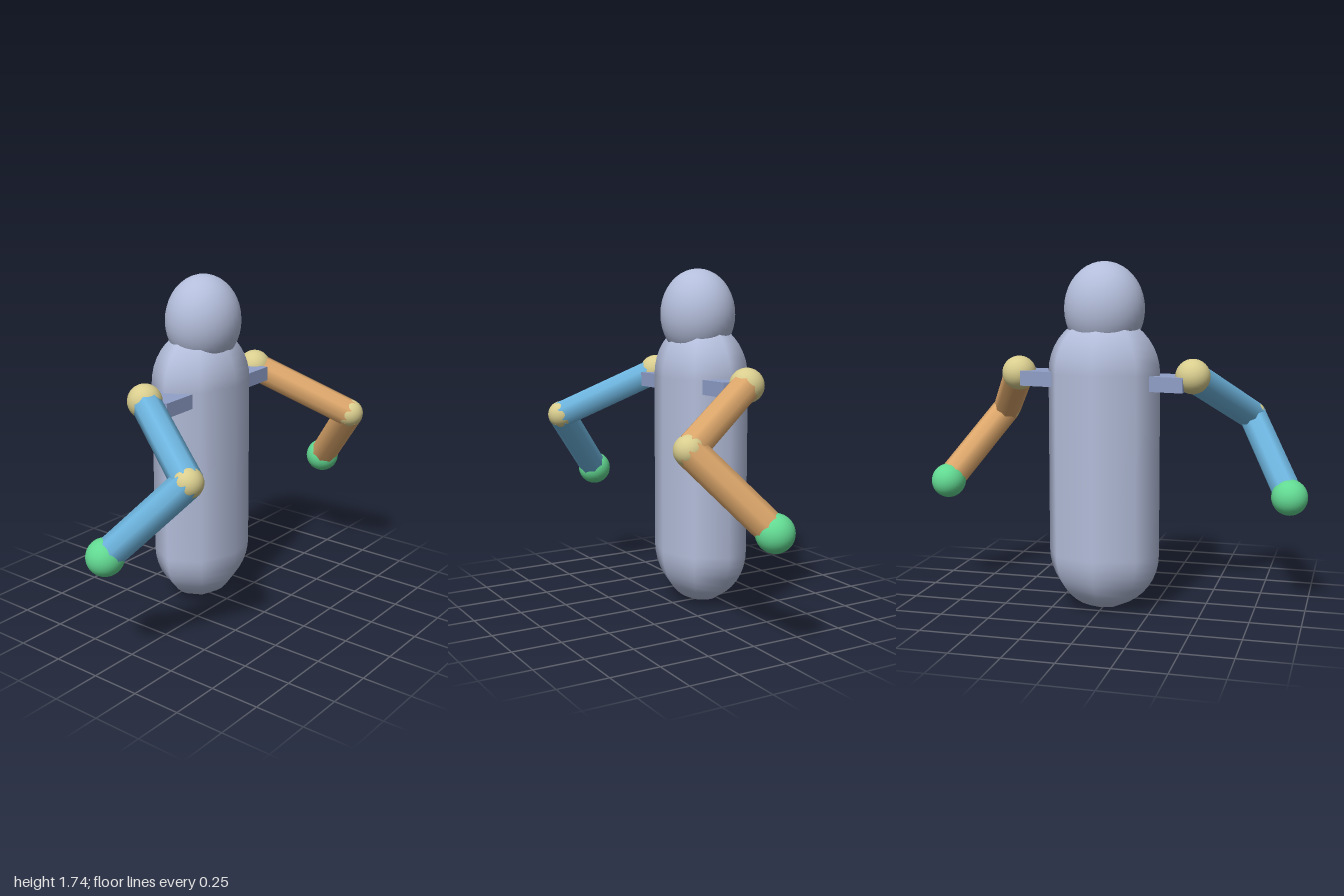
import * as THREE from 'three';

const flat = (name, color) => {
  const m = new THREE.MeshStandardMaterial({ color });
  m.name = name;
  return m;
};

export function createModel() {
  const mats = {
    body: flat('pale blue grey', 0xb4bedb),
    bar: flat('slate blue', 0x909fc8),
    blue: flat('sky blue', 0x6db4de),
    orange: flat('orange tan', 0xdea86c),
    joint: flat('sand yellow', 0xd9cd8e),
    hand: flat('green', 0x62d992),
  };
  const model = new THREE.Group();
  model.name = 'figure';

  const add = (name, geometry, material, position) => {
    const mesh = new THREE.Mesh(geometry, material);
    mesh.name = name;
    mesh.position.copy(position);
    model.add(mesh);
    return mesh;
  };
  const ball = (name, r, material, p) =>
    add(name, new THREE.SphereGeometry(r, 32, 20), material, p);

  // Cylinder running from one joint to the next
  const limb = (name, a, b, material) => {
    const dir = b.clone().sub(a);
    const mesh = add(name, new THREE.CylinderGeometry(0.075, 0.075, dir.length(), 8),
      material, a.clone().lerp(b, 0.5));
    mesh.quaternion.setFromUnitVectors(new THREE.Vector3(0, 1, 0), dir.normalize());
  };

  // Eight-sided capsule torso, flattened front to back
  const torso = add('torso', new THREE.CapsuleGeometry(0.285, 0.905, 10, 8),
    mats.body, new THREE.Vector3(0, 0.7375, -0.167));
  torso.scale.z = 0.786;

  // Egg-shaped head
  const head = ball('head', 1, mats.body, new THREE.Vector3(0, 1.505, -0.149));
  head.scale.set(0.2, 0.231, 0.188);

  // Slightly tilted shoulder bar through the torso
  const bar = add('shoulderBar', new THREE.BoxGeometry(0.82, 0.074, 0.198),
    mats.bar, new THREE.Vector3(0, 1.152, -0.142));
  bar.rotation.z = 0.022;

  // Arms: shoulder, elbow and hand on each side
  for (const [side, s, color] of [['left', 1, mats.orange], ['right', -1, mats.blue]]) {
    const shoulder = new THREE.Vector3(s * 0.444, 1.181, -0.153);
    const elbow = new THREE.Vector3(s * 0.682, 0.941, 0.312);
    const wrist = new THREE.Vector3(s * 0.909, 0.576, 0.004);
    ball(side + 'Shoulder', 0.086, mats.joint, shoulder);
    ball(side + 'Elbow', 0.0735, mats.joint, elbow);
    ball(side + 'Hand', 0.091, mats.hand, wrist);
    limb(side + 'UpperArm', shoulder, elbow, color);
    limb(side + 'Forearm', elbow, wrist, color);
  }
  return model;
}
